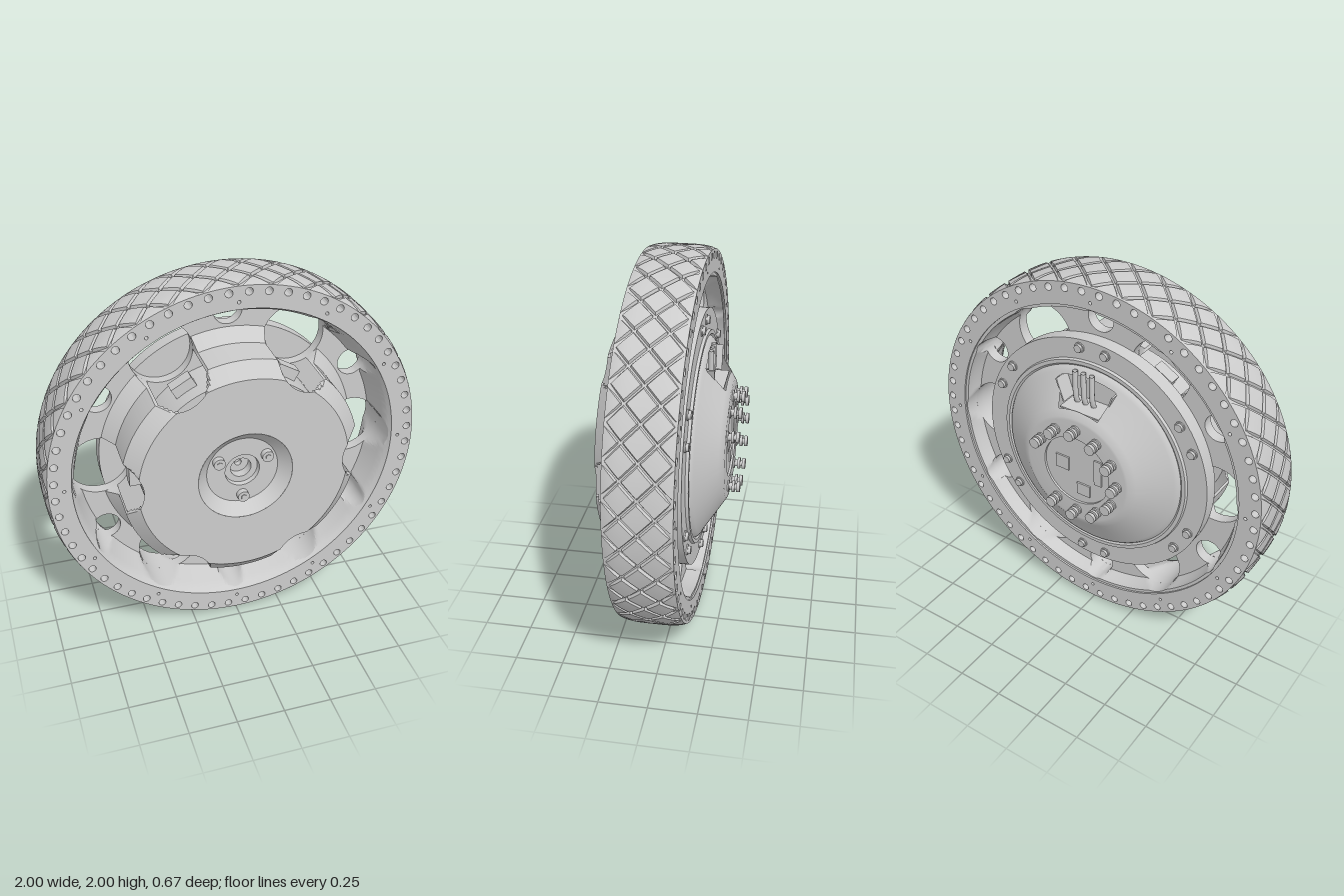
import * as THREE from 'three';
import { toCreasedNormals, mergeGeometries } from 'three/addons/utils/BufferGeometryUtils.js';

const TAU = Math.PI * 2;
const grey = new THREE.MeshStandardMaterial({ color: 0xcccccc, side: THREE.DoubleSide });

// Lightening holes in the web: distance from the axle, radius, first angle
const webHoles = [
  { d: 0.69, r: 0.164, a: 0 },
  { d: 0.78, r: 0.074, a: Math.PI / 6 },
];

// Radial span [near, far] of the web hole crossed at angle t, or null
function holeSpan(t) {
  for (const h of webHoles) {
    const step = Math.PI / 3;
    const off = t - h.a - Math.round((t - h.a) / step) * step;
    const q = h.r ** 2 - (h.d * Math.sin(off)) ** 2;
    if (q > 0) return [h.d * Math.cos(off) - Math.sqrt(q), h.d * Math.cos(off) + Math.sqrt(q)];
  }
  return null;
}

function triangles(pos, crease) {
  const g = new THREE.BufferGeometry();
  g.setAttribute('position', new THREE.Float32BufferAttribute(pos, 3));
  return toCreasedNormals(g, crease);
}

// Surface turned round z from [r, z] points; clip trims radii, skip leaves cells open
function turned(profile, { clip = (t, r) => r, skip = () => false, seg = 360, sub = 1 } = {}) {
  const rows = [profile[0]];
  for (let j = 1; j < profile.length; j++) for (let s = 1; s <= sub; s++) {
    const [a, b] = [profile[j - 1], profile[j]], k = s / sub;
    rows.push([a[0] + (b[0] - a[0]) * k, a[1] + (b[1] - a[1]) * k]);
  }
  const pos = [];
  const vertex = (i, j) => {
    const t = (i / seg) * TAU, r = clip(t, rows[j][0]);
    return [r * Math.cos(t), r * Math.sin(t), rows[j][1], r !== rows[j][0]];
  };
  for (let j = 0; j < rows.length - 1; j++) for (let i = 0; i < seg; i++) {
    const q = [vertex(i, j), vertex(i + 1, j), vertex(i + 1, j + 1), vertex(i, j + 1)];
    if (skip(q, (i + 0.5) / seg * TAU)) continue;
    for (const k of [0, 2, 1, 0, 3, 2]) pos.push(q[k][0], q[k][1], q[k][2]);
  }
  return triangles(pos, 0.5);
}

// Flat ring between two z planes with round holes [x, y, r]
function plate(outer, inner, z0, z1, holes = [], curveSegments = 12) {
  const circle = (r, n) => Array.from({ length: n }, (_, i) =>
    new THREE.Vector2(r * Math.cos(i / n * TAU), r * Math.sin(i / n * TAU)));
  const shape = new THREE.Shape(circle(outer, 144));
  shape.holes.push(new THREE.Path(circle(inner, 144)));
  for (const [x, y, r] of holes) shape.holes.push(new THREE.Path().absarc(x, y, r, 0, TAU, true));
  const g = new THREE.ExtrudeGeometry(shape, { depth: z1 - z0, bevelEnabled: false, curveSegments });
  return toCreasedNormals(g.translate(0, 0, z0), 0.5);
}

const ringOf = (n, d, a0 = 0) => Array.from({ length: n }, (_, i) =>
  [d * Math.cos(a0 + i / n * TAU), d * Math.sin(a0 + i / n * TAU)]);

// Diamond tread laid out on two crossing sets of helical grooves
function treadGeometry() {
  const N = 36, cuts = [0, 0.035, 0.09, 0.3, 0.5, 0.7, 0.91, 0.965, 1], pos = [];
  const point = (i, k, a, b) => {
    const w = k + a - b, t = (2 * i - k + a + b) * Math.PI / N;
    const edge = Math.min(a, 1 - a, b, 1 - b);
    const groove = 0.015 * (1 - THREE.MathUtils.clamp((edge - 0.03) / 0.06, 0, 1));
    const r = 1 - 0.018 * (w / 2) ** 4 - groove;
    return { w, p: [r * Math.cos(t), r * Math.sin(t), 0.035 + w * 0.0825] };
  };
  for (let i = 0; i < N; i++) for (let k = -2; k <= 2; k++)
    for (let m = 0; m < 8; m++) for (let n = 0; n < 8; n++) {
      const [a, b, c, d] = [[m, n], [m + 1, n], [m + 1, n + 1], [m, n + 1]]
        .map(([x, y]) => point(i, k, cuts[x], cuts[y]));
      for (const tri of [[a, c, b], [a, d, c]]) {
        if (Math.abs(tri[0].w + tri[1].w + tri[2].w) < 6) tri.forEach(v => pos.push(...v.p));
      }
    }
  return triangles(pos, 0.35);
}

// Stepped bolt standing along z, dir = +1 or -1
function bolt(steps, dir, seg) {
  let z = 0;
  return mergeGeometries(steps.map(([r, h]) => {
    const g = new THREE.CylinderGeometry(r, r, h, seg).rotateX(Math.PI / 2);
    g.translate(0, 0, dir * (z + h / 2));
    z += h;
    return g;
  }));
}

export function createModel() {
  const model = new THREE.Group();
  const wheel = new THREE.Group();
  wheel.name = 'wheel';
  wheel.position.y = 1;
  model.add(wheel);
  const add = (name, geometry, x = 0, y = 0, z = 0) => {
    const mesh = new THREE.Mesh(geometry, grey);
    mesh.name = name;
    mesh.position.set(x, y, z);
    wheel.add(mesh);
    return mesh;
  };

  // Tyre and rim ring with its drilled edge
  add('tread', treadGeometry());
  const drillings = [
    ...ringOf(60, 0.95, TAU / 120).map(p => [...p, 0.02]),
    ...ringOf(12, 0.9).map(p => [...p, 0.009]),
  ];
  add('rimRing', plate(0.982, 0.862, -0.13, 0.2, drillings, 6));

  // Sloping barrel, notched by the web holes
  const outward = (t, r) => {
    const s = holeSpan(t);
    return s && s[1] > r ? s[1] : r;
  };
  add('frontBarrel', turned([[0.862, 0.195], [0.845, 0.17], [0.8, 0.02]], { clip: outward, sub: 4 }));
  add('backBarrel', turned([[0.862, -0.12], [0.845, -0.12], [0.84, -0.085], [0.82, -0.04]], { clip: outward, sub: 2 }));

  // Web disc
  const holes = webHoles.flatMap(h => ringOf(6, h.d, h.a).map(p => [...p, h.r]));
  add('web', plate(0.861, 0.3, -0.04, 0.02, holes, 24));

  // Front hub cover, cut away where the large holes pass
  const inward = (t, r) => {
    const s = holeSpan(t);
    return s && s[0] < r ? s[0] : r;
  };
  add('hubCover', turned([
    [0.25, 0.335], [0.5, 0.335], [0.555, 0.335], [0.63, 0.27], [0.63, 0.09], [0.69, 0.02],
  ], { clip: inward, sub: 4, skip: q => q.every(v => v[3]) }));
  add('hubRecess', turned([
    [0.25, 0.335], [0.19, 0.275], [0.092, 0.275], [0.088, 0.25], [0.055, 0.25],
    [0.055, 0.2], [0.018, 0.2], [0.018, 0.17], [0, 0.17],
  ], { seg: 64 }));
  for (const [x, y] of ringOf(3, 0.148, Math.PI / 6)) {
    add('recessScrew', bolt([[0.031, 0.03]], 1, 20), x, y, 0.275);
    add('screwSocket', bolt([[0.015, 0.006]], 1, 6), x, y, 0.303);
  }

  // Motor drum and lugs visible through the openings
  add('motorDrum', turned([[0.24, 0.25], [0.51, 0.25], [0.51, -0.1], [0, -0.1]], { seg: 96 }));
  for (let i = 0; i < 6; i++) {
    const a = i / 6 * TAU;
    const lug = add('motorLug', new THREE.BoxGeometry(0.07, 0.12, 0.07),
      0.53 * Math.cos(a), 0.53 * Math.sin(a), 0.13);
    lug.rotation.z = a;
  }

  // Bolted flange on the back
  add('backFlange', plate(0.68, 0.5, -0.115, -0.035));
  const flangeBolt = bolt([[0.028, 0.012], [0.021, 0.014]], -1, 16);
  for (let i = 0; i < 6; i++) for (const side of [-1, 1]) {
    const a = Math.PI / 2 + i / 6 * TAU + side * 0.12;
    add('flangeBolt', flangeBolt, 0.635 * Math.cos(a), 0.635 * Math.sin(a), -0.11);
  }

  // Conical back cover with a cable window at the top
  const inWindow = (q, t) => Math.abs(t - Math.PI / 2) < 0.34 &&
    q.every(v => { const r = Math.hypot(v[0], v[1]); return r > 0.345 && r < 0.496; });
  add('backCover', turned([
    [0.57, -0.115], [0.565, -0.13], [0.545, -0.13], [0.535, -0.122], [0.525, -0.135], [0.51, -0.145],
    [0.495, -0.152], [0.35, -0.246], [0.315, -0.268], [0.3, -0.27], [0.2, -0.27], [0.2, -0.258], [0, -0.258],
  ], { skip: inWindow, seg: 240 }));
  for (const side of [-1, 1]) {
    const wall = add('windowWall', new THREE.BoxGeometry(0.008, 0.13, 0.09), side * 0.146, 0.4, -0.15);
    wall.rotation.z = -side * 0.34;
  }
  add('windowFloor', new THREE.BoxGeometry(0.235, 0.008, 0.14), 0, 0.335, -0.165);

  // Cables leaving through the window
  for (const x of [-0.03, 0.02, 0.07]) {
    const path = new THREE.CatmullRomCurve3([
      new THREE.Vector3(x, 0.3, -0.13), new THREE.Vector3(x, 0.37, -0.16),
      new THREE.Vector3(x, 0.45, -0.165), new THREE.Vector3(x, 0.525, -0.165),
    ]);
    add('cable', new THREE.TubeGeometry(path, 12, 0.014, 10));
  }

  // Stud ring and slot plates on the back cap
  const stud = bolt([[0.03, 0.008], [0.018, 0.016], [0.031, 0.014], [0.016, 0.01], [0.029, 0.017]], -1, 16);
  ringOf(12, 0.25).forEach(([x, y], i) => {
    if (i !== 0 && i !== 11) add('capStud', stud, x, y, -0.27);
  });
  for (const [x, y, w, h] of [[0.09, 0.02, 0.08, 0.08], [-0.04, -0.11, 0.08, 0.07], [-0.13, 0.03, 0.045, 0.15]]) {
    add('capPlate', new THREE.BoxGeometry(w, h, 0.01), x, y, -0.262);
  }
  return model;
}
